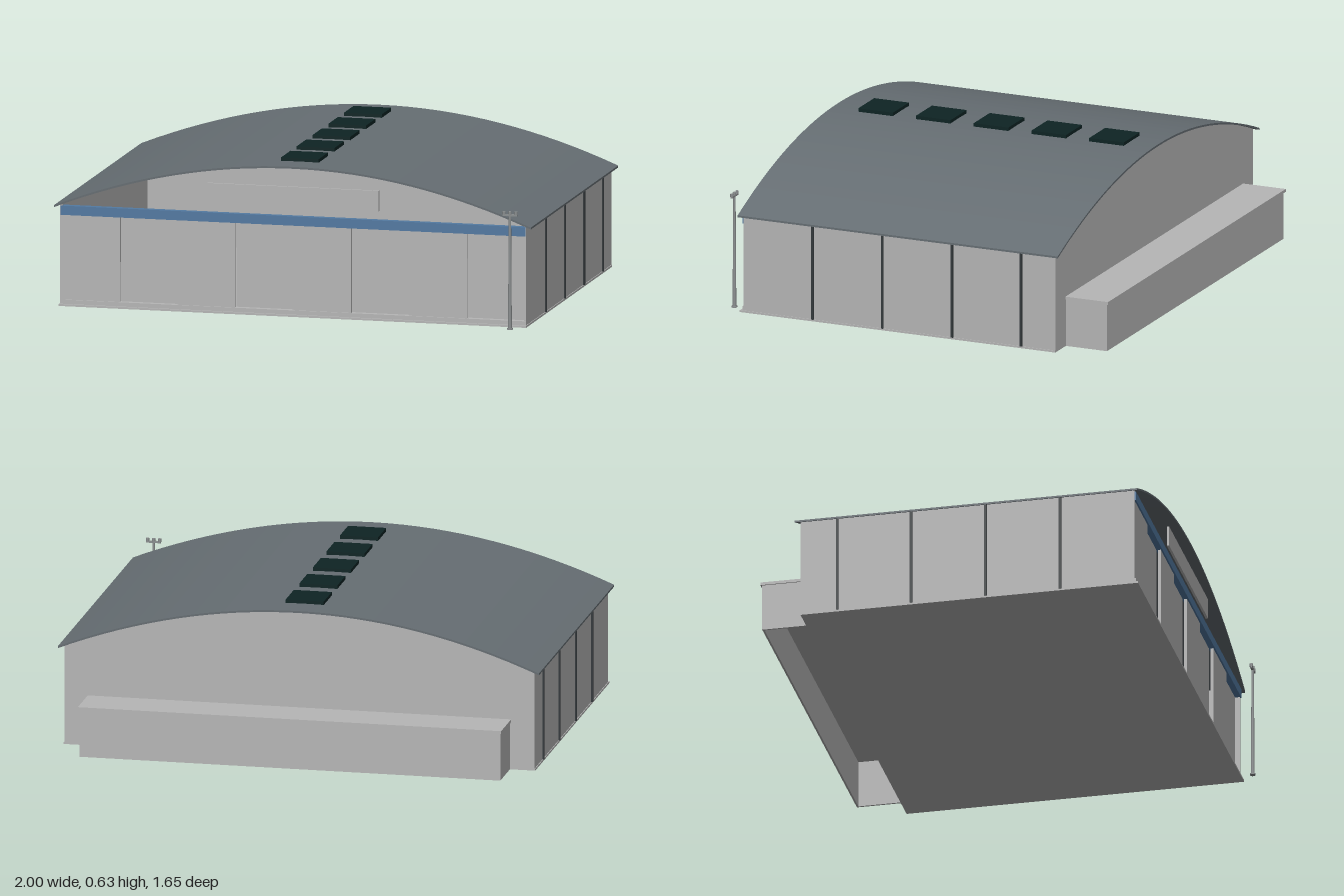
import * as THREE from 'three';

export function createModel() {
  const model = new THREE.Group();
  model.name = 'hangar';
  const paint = (name, color) => {
    const m = new THREE.MeshStandardMaterial({ color });
    m.name = name;
    return m;
  };
  const wallGrey = paint('wall grey', 0xb6b6b6);
  const roofGrey = paint('roof slate', 0x666e73);
  const glass = paint('dark skylight', 0x0e2424);
  const blue = paint('blue band', 0x537aa2);
  const dark = paint('dark column', 0x34393c);
  const poleGrey = paint('pole grey', 0x8c9091);

  const add = (name, geometry, material) => {
    const mesh = new THREE.Mesh(geometry, material);
    mesh.name = name;
    model.add(mesh);
    return mesh;
  };
  // Box given by its minimum and maximum corners
  const box = (name, material, x0, x1, y0, y1, z0, z1) => {
    const g = new THREE.BoxGeometry(x1 - x0, y1 - y0, z1 - z0);
    g.translate((x0 + x1) / 2, (y0 + y1) / 2, (z0 + z1) / 2);
    return add(name, g, material);
  };
  const extrude = (name, material, points, z0, z1) => {
    const g = new THREE.ExtrudeGeometry(new THREE.Shape(points), { depth: z1 - z0, bevelEnabled: false });
    return add(name, g.translate(0, 0, z0), material);
  };
  // Arched roof line, lowered by a given amount
  const arch = (half, drop) => {
    const points = [];
    for (let i = 0; i <= 32; i++) {
      const x = half - (2 * half * i) / 32;
      points.push(new THREE.Vector2(x, 0.62 - 0.205 * x * x - drop));
    }
    return points;
  };

  // Floor and curved roof
  box('floor', wallGrey, -0.98, 0.98, 0, 0.008, -0.64, 0.765);
  extrude('roof', roofGrey, [...arch(1, 0), ...arch(1, 0.008).reverse()], -0.66, 0.765);

  // Back gable wall
  extrude('backWall', wallGrey,
    [new THREE.Vector2(-0.975, 0), new THREE.Vector2(0.975, 0), ...arch(0.975, 0.008)], -0.64, -0.63);

  // Side walls with columns
  for (const s of [-1, 1]) {
    const xs = (a, b) => (s > 0 ? [a, b] : [-b, -a]);
    box('sideWall', wallGrey, ...xs(0.967, 0.977), 0, 0.418, -0.64, 0.75);
    for (const z of [0.44, 0.13, -0.18, -0.487]) {
      box('sideColumn', dark, ...xs(0.975, 0.984), 0.008, 0.415, z - 0.005, z + 0.005);
    }
  }

  // Sliding doors on two tracks, every second one set back
  const doorWidth = 1.94 / 8;
  for (let i = 0; i < 8; i++) {
    const x = -0.97 + i * doorWidth;
    const z = i % 2 ? 0.73 : 0.748;
    box('slidingDoor', wallGrey, x, x + doorWidth, 0.008, 0.38, z - 0.012, z);
  }
  box('doorRail', wallGrey, -0.975, 0.975, 0, 0.025, 0.73, 0.755);

  // Blue header and sign board in the open gable
  box('headerBand', blue, -0.975, 0.975, 0.375, 0.413, 0.728, 0.755);
  box('signBoard', wallGrey, -0.36, 0.36, 0.45, 0.535, 0.745, 0.755);

  // Skylights along the ridge
  for (let i = 0; i < 5; i++) {
    const z = 0.565 - i * 0.257;
    box('skylight', glass, -0.079, 0.079, 0.612, 0.633, z - 0.077, z + 0.077);
  }

  // Rear annex, open below, with a thin roof slab
  box('annexBackWall', wallGrey, -0.875, 0.875, 0, 0.2, -0.823, -0.815);
  box('annexRoof', wallGrey, -0.88, 0.88, 0.198, 0.21, -0.83, -0.64);
  for (const s of [-1, 1]) {
    box('annexEndWall', wallGrey, s * 0.871 - 0.004, s * 0.871 + 0.004, 0, 0.2, -0.82, -0.64);
  }

  // Lamp pole with crossarm and three lamps
  const px = 0.925, pz = 0.813;
  const rod = (name, r0, r1, y0, y1, x = px) =>
    add(name, new THREE.CylinderGeometry(r1, r0, y1 - y0, 10).translate(x, (y0 + y1) / 2, pz), poleGrey);
  rod('poleBase', 0.012, 0.012, 0, 0.006);
  rod('poleShaft', 0.008, 0.005, 0.006, 0.475);
  box('poleCrossarm', poleGrey, px - 0.03, px + 0.03, 0.468, 0.476, pz - 0.004, pz + 0.004);
  for (const dx of [-0.025, 0, 0.025]) rod('poleLamp', 0.007, 0.007, 0.474, 0.487, px + dx);

  return model;
}
